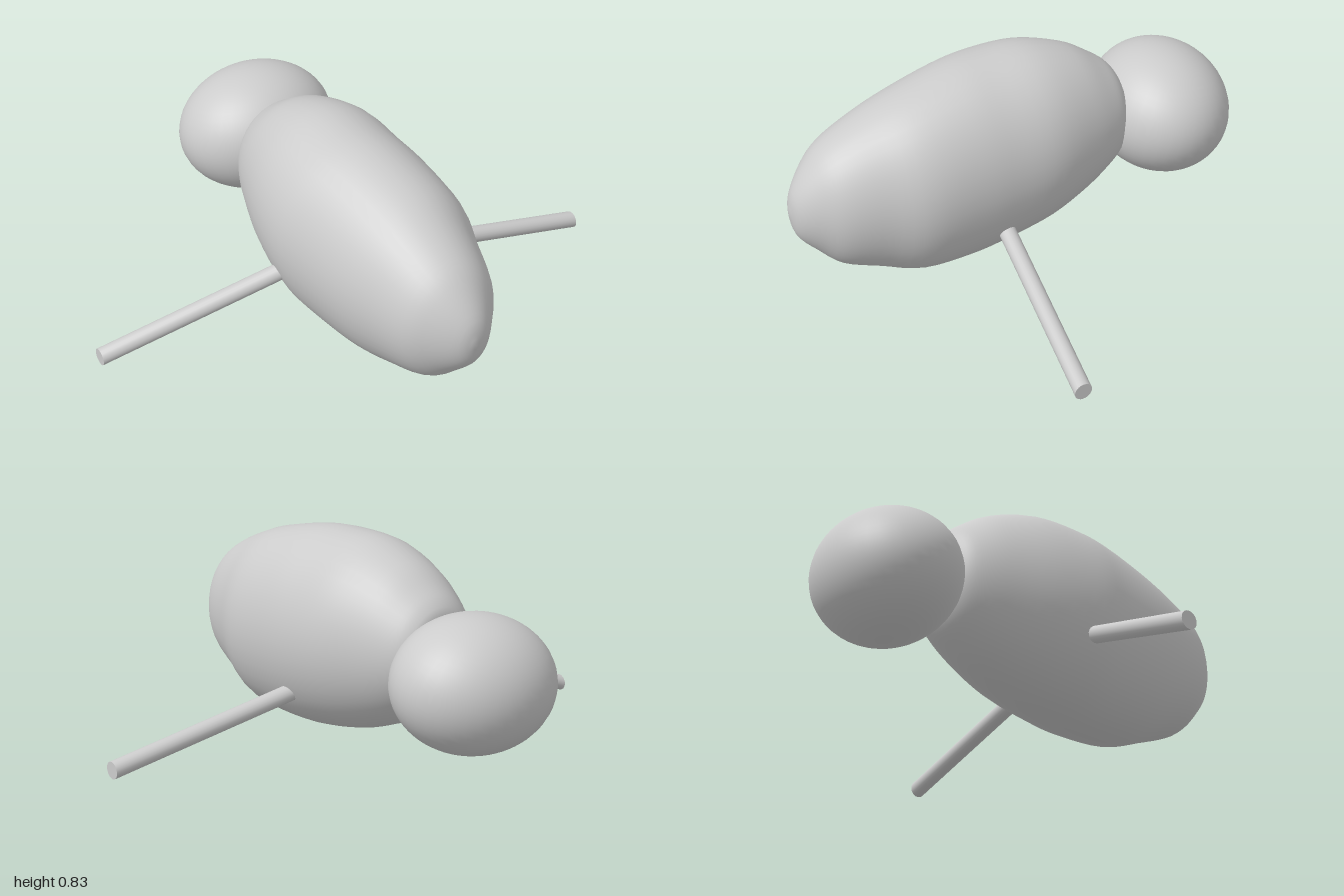
import * as THREE from 'three';
import { mergeVertices } from 'three/addons/utils/BufferGeometryUtils.js';

const material = new THREE.MeshStandardMaterial({ color: 0xcccccc });

function addMesh(group, name, geometry) {
  const mesh = new THREE.Mesh(geometry, material);
  mesh.name = name;
  group.add(mesh);
  return mesh;
}

// Body cross-sections from front to back: z, left edge, right edge, bottom, top
const SECTIONS = [
  [0.91, -0.01, -0.01, 0.39, 0.39],
  [0.89, -0.07, 0.06, 0.29, 0.48],
  [0.82, -0.15, 0.13, 0.205, 0.58],
  [0.74, -0.21, 0.19, 0.13, 0.65],
  [0.6, -0.255, 0.24, 0.075, 0.72],
  [0.45, -0.295, 0.295, 0.027, 0.775],
  [0.25, -0.33, 0.3, 0.015, 0.82],
  [0.1, -0.35, 0.295, 0.03, 0.83],
  [-0.08, -0.33, 0.285, 0.075, 0.828],
  [-0.25, -0.28, 0.235, 0.145, 0.775],
  [-0.36, -0.235, 0.19, 0.215, 0.705],
  [-0.42, -0.19, 0.15, 0.27, 0.655],
  [-0.445, -0.13, 0.1, 0.33, 0.6],
  [-0.455, -0.03, -0.03, 0.46, 0.46],
];

// Sphere whose rings are moved onto the smoothly interpolated sections
function bodyGeometry() {
  const smooth = (points) => new THREE.CatmullRomCurve3(points, false, 'catmullrom', 0.5);
  const centres = smooth(SECTIONS.map(([z, l, r, b, t]) => new THREE.Vector3((l + r) / 2, (b + t) / 2, z)));
  const radii = smooth(SECTIONS.map(([, l, r, b, t]) => new THREE.Vector3((r - l) / 2, (t - b) / 2, 0)));
  const geometry = new THREE.SphereGeometry(1, 40, 52);
  const { position, uv } = geometry.attributes;
  for (let i = 0; i < position.count; i++) {
    const t = THREE.MathUtils.clamp(1 - uv.getY(i), 0, 1);
    const angle = uv.getX(i) * Math.PI * 2;
    const c = centres.getPoint(t);
    const r = radii.getPoint(t);
    position.setXYZ(i, c.x - Math.cos(angle) * r.x, c.y - Math.sin(angle) * r.y, c.z);
  }
  geometry.deleteAttribute('uv');
  geometry.deleteAttribute('normal');
  const merged = mergeVertices(geometry, 1e-4);
  merged.computeVertexNormals();
  return merged;
}

// Rod along x, sheared so that its end faces stay upright
function rodGeometry(a, b, radius) {
  const [start, end] = a[0] < b[0] ? [a, b] : [b, a];
  const length = end[0] - start[0];
  const geometry = new THREE.CylinderGeometry(radius, radius, length, 20);
  geometry.rotateZ(-Math.PI / 2);
  const shear = new THREE.Matrix4().set(
    1, 0, 0, (start[0] + end[0]) / 2,
    (end[1] - start[1]) / length, 1, 0, (start[1] + end[1]) / 2,
    (end[2] - start[2]) / length, 0, 1, (start[2] + end[2]) / 2,
    0, 0, 0, 1,
  );
  return geometry.applyMatrix4(shear);
}

export function createModel() {
  const group = new THREE.Group();
  group.name = 'model';

  addMesh(group, 'body', bodyGeometry());

  // Slightly wide ball at the back
  const head = addMesh(group, 'head', new THREE.SphereGeometry(1, 40, 28));
  head.scale.set(0.32, 0.255, 0.273);
  head.position.set(0.007, 0.418, -0.641);
  head.rotation.set(-0.2, -0.12, 0.05);

  // Splayed limbs reaching out and down
  addMesh(group, 'leftLimb', rodGeometry([0.2, 0.22, 0.135], [1, 0.068, 0.215], 0.034));
  addMesh(group, 'rightLimb', rodGeometry([-0.2, 0.32, 0.11], [-1, 0.035, -0.105], 0.034));

  return group;
}
